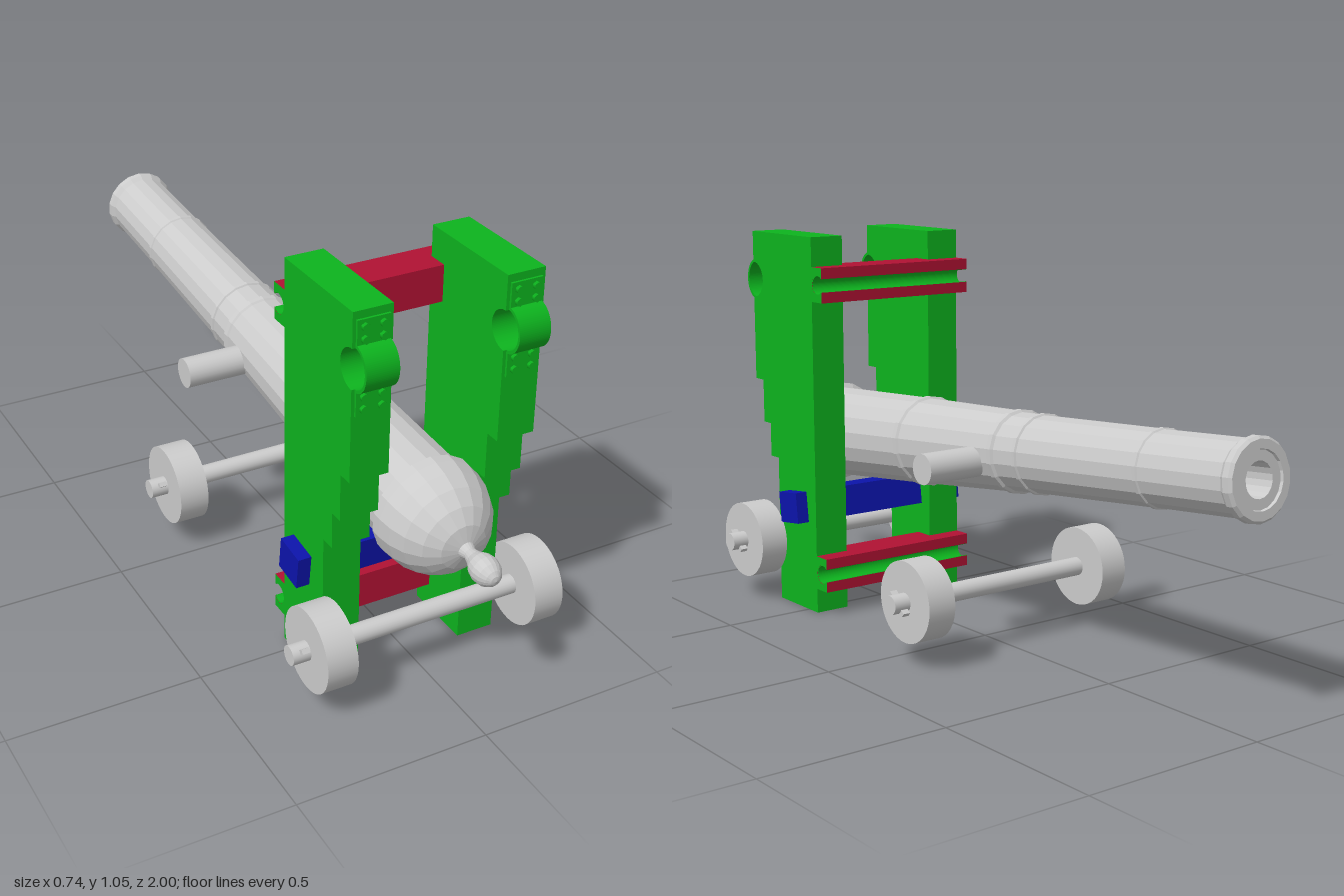
import * as THREE from 'three';

const grey = new THREE.MeshStandardMaterial({ color: 0xcccccc });
const greyFlat = new THREE.MeshStandardMaterial({ color: 0xcccccc, flatShading: true });
const green = new THREE.MeshStandardMaterial({ color: 0x0db31e });
const greenThin = new THREE.MeshStandardMaterial({ color: 0x0db31e, side: THREE.DoubleSide });
const red = new THREE.MeshStandardMaterial({ color: 0xb01233 });
const blue = new THREE.MeshStandardMaterial({ color: 0x0c14ab });

function add(parent, name, geometry, material, x = 0, y = 0, z = 0) {
  const mesh = new THREE.Mesh(geometry, material);
  mesh.name = name;
  mesh.position.set(x, y, z);
  parent.add(mesh);
  return mesh;
}

// Extrude a (z, y) outline along x, centred on x = 0
function extrudeX(shape, width) {
  const geometry = new THREE.ExtrudeGeometry(shape, { depth: width, bevelEnabled: false, curveSegments: 20 });
  return geometry.translate(0, 0, -width / 2).rotateY(-Math.PI / 2);
}

// Cylinder lying along x
function rodX(radius, length, sides = 32) {
  return new THREE.CylinderGeometry(radius, radius, length, sides).rotateZ(Math.PI / 2);
}

function makeBarrel() {
  const barrel = new THREE.Group();
  barrel.name = 'barrel';
  // Profile (radius, distance along the axis): bore, muzzle, tube with rings, breech, knob
  const profile = [
    [0, -0.6], [0.043, -0.6], [0.043, -0.985], [0.068, -0.985], [0.07, -0.992], [0.092, -0.992],
    [0.099, -0.985], [0.099, -0.968], [0.091, -0.955], [0.093, -0.69],
    [0.097, -0.687], [0.097, -0.677], [0.094, -0.674], [0.1, -0.255],
    [0.105, -0.252], [0.105, -0.242], [0.101, -0.239], [0.103, -0.165],
    [0.11, -0.16], [0.11, -0.145], [0.106, -0.14], [0.118, 0.235],
    [0.124, 0.24], [0.124, 0.255], [0.119, 0.26], [0.129, 0.69],
    [0.143, 0.7], [0.143, 0.725], [0.137, 0.765], [0.122, 0.805], [0.095, 0.842],
    [0.06, 0.868], [0.022, 0.88], [0.016, 0.895], [0.021, 0.915], [0.032, 0.935],
    [0.036, 0.955], [0.032, 0.977], [0.022, 0.992], [0.012, 1.0], [0, 1.003],
  ].map(([r, s]) => new THREE.Vector2(r, s));
  const tube = add(barrel, 'gunTube', new THREE.LatheGeometry(profile, 18), greyFlat, 0, 0.518, 0);
  tube.rotation.x = Math.PI / 2 + 0.083;
  add(barrel, 'trunnions', rodX(0.04, 0.525, 24), grey, 0, 0.505, -0.08);
  return barrel;
}

// Stepped side cheek with a half-round trunnion seat in its front edge
function makeCheek(side) {
  const cheek = new THREE.Group();
  cheek.name = side > 0 ? 'leftCheek' : 'rightCheek';
  cheek.position.x = side * 0.195;
  const s = new THREE.Shape();
  s.moveTo(0.455, 0);
  for (const [z, y] of [[0.65, 0], [0.65, 0.415], [0.69, 0.415], [0.69, 0.51], [0.725, 0.51],
    [0.725, 0.632], [0.765, 0.632], [0.765, 0.868]]) s.lineTo(z, y);
  s.absarc(0.765, 0.918, 0.05, -Math.PI / 2, Math.PI / 2, true);
  s.lineTo(0.765, 1.055);
  s.lineTo(0.455, 1.055);
  add(cheek, 'cheekPlank', extrudeX(s, 0.1), green);

  // Trunnion cap strap
  const cap = new THREE.Shape();
  cap.absellipse(0.762, 0.918, 0.051, 0.058, -Math.PI / 2, Math.PI / 2, false);
  cap.absellipse(0.762, 0.918, 0.044, 0.05, Math.PI / 2, -Math.PI / 2, true);
  add(cheek, 'trunnionCap', extrudeX(cap, 0.083), greenThin);

  // Bolted flanges above and below the cap
  for (const y of [1.003, 0.833]) {
    add(cheek, 'capFlange', new THREE.BoxGeometry(0.083, 0.065, 0.008), green, 0, y, 0.767);
    for (const dx of [-0.023, 0.023]) for (const dy of [-0.015, 0.015]) {
      const bolt = new THREE.CylinderGeometry(0.01, 0.01, 0.012, 6).rotateX(Math.PI / 2);
      add(cheek, 'bolt', bolt, green, dx, y + dy, 0.774);
    }
  }
  return cheek;
}

// Cross rail behind the cheeks with a round channel open to the back
function makeTransom(y) {
  const transom = new THREE.Group();
  transom.name = 'transom';
  transom.position.y = y;
  const h = 0.0475, cz = 0.425, r = 0.027;
  const a = Math.acos(-0.02 / r);
  const dy = r * Math.sin(a);
  const s = new THREE.Shape();
  s.moveTo(0.405, -h);
  s.lineTo(0.455, -h);
  s.lineTo(0.455, h);
  s.lineTo(0.405, h);
  s.lineTo(0.405, dy);
  s.absarc(cz, 0, r, a, -a, true);
  add(transom, 'rail', extrudeX(s, 0.49), [green, red]);
  add(transom, 'spacer', new THREE.BoxGeometry(0.29, 2 * h, 0.06), red, 0, 0, 0.48);
  // Channel lining
  const lining = new THREE.Shape();
  lining.absarc(cz, 0, r, a, -a, true);
  lining.absarc(cz, 0, r - 0.002, -a, a, false);
  add(transom, 'channelLining', extrudeX(lining, 0.489), greenThin);
  return transom;
}

function makeAxle(z) {
  const axle = new THREE.Group();
  axle.name = z > 0 ? 'frontWheels' : 'rearWheels';
  axle.position.set(0, 0.172, z);
  add(axle, 'axle', rodX(0.025, 0.744, 24), grey);
  for (const side of [-1, 1]) {
    add(axle, 'wheel', rodX(0.107, 0.08, 40), grey, side * 0.286, 0, 0);
    const pin = add(axle, 'linchpin', new THREE.BoxGeometry(0.02, 0.075, 0.012), grey, side * 0.343, 0, 0);
    pin.rotation.x = 0.9;
  }
  return axle;
}

export function createModel() {
  const model = new THREE.Group();
  model.name = 'cannon';
  model.add(makeBarrel());
  for (const side of [-1, 1]) model.add(makeCheek(side));
  for (const y of [0.117, 0.927]) model.add(makeTransom(y));
  for (const z of [0.72, -0.09]) model.add(makeAxle(z));
  // Tilted bed under the breech
  const bed = add(model, 'bed', new THREE.BoxGeometry(0.56, 0.086, 0.09), blue, 0, 0.293, 0.543);
  bed.rotation.x = 0.12;
  return model;
}
